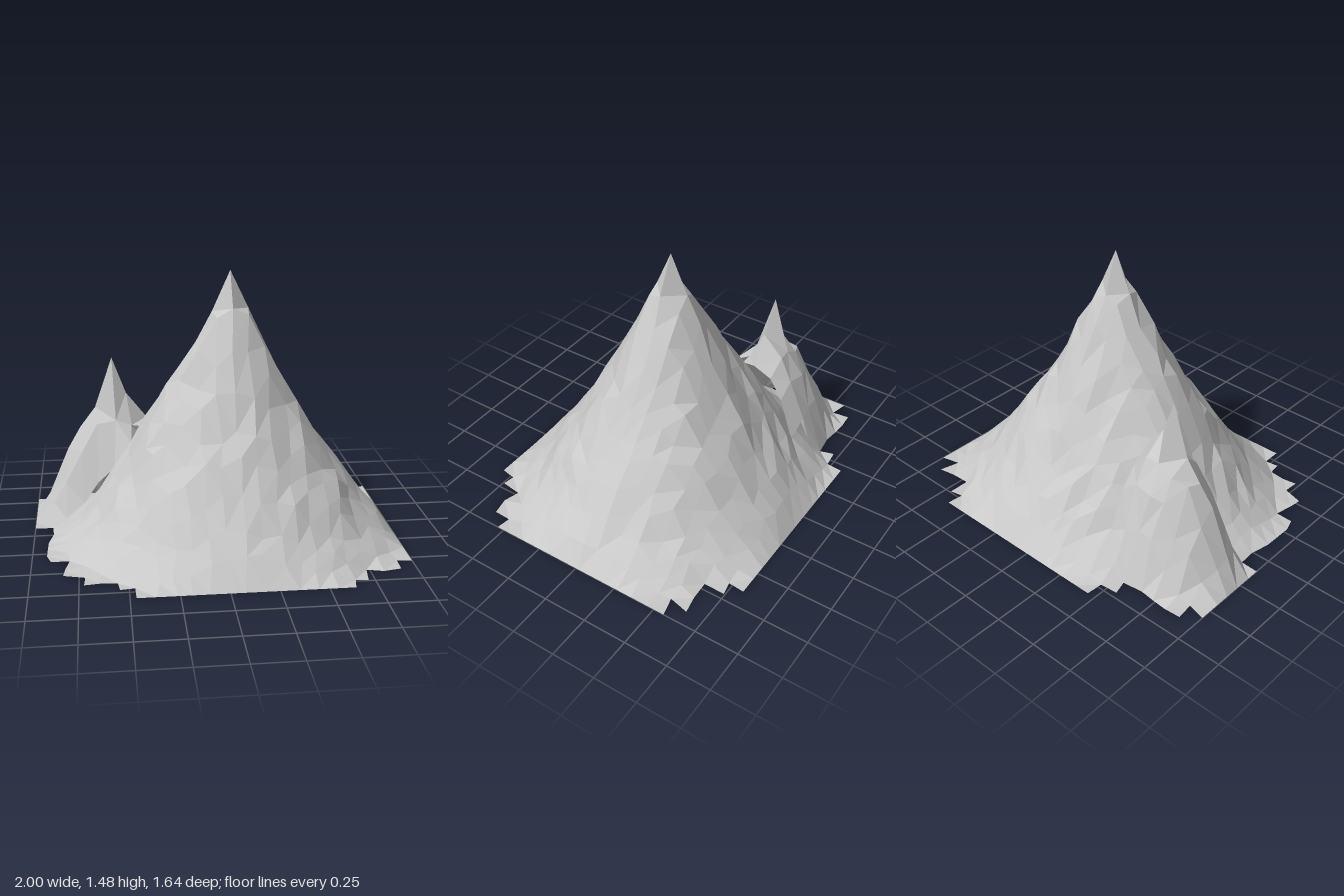
import * as THREE from 'three';

const STEP = 1 / 11, COLS = 22, ROWS = 18;

// First and last column of each row of cells, back to front: the stepped feet
const MAIN_FOOT = {
  firstRow: 0,
  left: [6, 5, 3, 2, 2, 1, 1, 1, 1, 1, 1, 1, 1, 2, 2, 3, 5, 6],
  right: [18, 19, 21, 22, 22, 22, 22, 22, 22, 22, 22, 22, 22, 22, 22, 21, 19, 18],
};
const SIDE_FOOT = { firstRow: 2, left: [1, 0, 0, 0, 0, 0], right: [6, 7, 7, 7, 7, 6] };

// Slope profiles: height at equal steps from peak to foot
const MAIN = [1.475, 1.28, 1.08, 0.88, 0.715, 0.57, 0.43, 0.29, 0.165, 0.075, 0];
const SIDE = [0.945, 0.8, 0.69, 0.62, 0.56, 0.48, 0.38, 0.27, 0.16, 0.07, 0];

function sample(profile, t) {
  if (t >= 1) return 0;
  const i = Math.floor(t * 10);
  return THREE.MathUtils.lerp(profile[i], profile[i + 1], t * 10 - i);
}

// Repeatable value from -1 to 1
function noise(i, j, k) {
  const s = Math.sin(i * 127.1 + j * 311.7 + k * 74.7) * 43758.5453;
  return (s - Math.floor(s)) * 2 - 1;
}

// Nearly round main cone with a shoulder on one side
function mainHeight(x, z) {
  const shoulder = 0.07 * Math.exp(-(((x + 0.31) / 0.15) ** 2) - (z / 0.2) ** 2);
  return sample(MAIN, Math.hypot((x - STEP) / 0.97, z / 0.87)) + shoulder;
}

// Smaller peak, steep towards the front; its inner edge sinks just under the main slope
function sideHeight(x, z) {
  const dx = x + 6 * STEP, dz = z + 3 * STEP;
  const own = sample(SIDE, Math.hypot(dx / (dx > 0 ? 0.5 : 0.46), dz / (dz > 0 ? 0.26 : 0.39)));
  return Math.max(own, mainHeight(x, z) - 0.015);
}

function vertex(i, j, foot, height, peakI, peakJ) {
  const x = -1 + i * STEP, z = (j - ROWS / 2) * STEP;
  if (i === peakI && j === peakJ) return [x, height(x, z), z];
  // Rough rock: shift each point a little, but keep the outer limits straight
  const px = i > 0 && i < COLS ? x + 0.018 * noise(i, j, 1) : x;
  const pz = j > 0 && j < ROWS ? z + 0.018 * noise(i, j, 3) : z;
  const h = height(px, pz);
  const py = Math.max(0.01, h + 0.028 * Math.min(1, h / 0.3) * noise(i, j, 2));
  // Points on the rim rest on the ground unless they meet the main slope
  const last = foot.left.length - 1, row = j - foot.firstRow;
  const r0 = Math.max(row - 1, 0), r1 = Math.min(row, last);
  const inside = row > 0 && row <= last
    && i > Math.max(foot.left[r0], foot.left[r1]) && i < Math.min(foot.right[r0], foot.right[r1]);
  const grounded = !inside && (foot === MAIN_FOOT || h < 0.05);
  return [px, grounded ? 0 : py, pz];
}

// Open faceted shell over a stepped grid
function makeShell(name, material, foot, height, peakI, peakJ) {
  const points = [];
  foot.left.forEach((start, row) => {
    const j = row + foot.firstRow;
    for (let i = start; i < foot.right[row]; i++) {
      const [a, b, c, d] = [[i, j], [i + 1, j], [i + 1, j + 1], [i, j + 1]]
        .map(([u, v]) => vertex(u, v, foot, height, peakI, peakJ));
      // Split each cell along its flatter diagonal
      const flat = Math.abs(a[1] - c[1]) < Math.abs(b[1] - d[1]);
      const tris = flat ? [a, d, c, a, c, b] : [a, d, b, b, d, c];
      points.push(...tris.flat());
    }
  });
  const geometry = new THREE.BufferGeometry();
  geometry.setAttribute('position', new THREE.Float32BufferAttribute(points, 3));
  geometry.computeVertexNormals();
  const shell = new THREE.Mesh(geometry, material);
  shell.name = name;
  return shell;
}

export function createModel() {
  const group = new THREE.Group();
  group.name = 'mountain';
  const rock = new THREE.MeshStandardMaterial({
    name: 'grey rock', color: 0xc8c8c8, flatShading: true, side: THREE.DoubleSide,
  });
  group.add(
    makeShell('mainPeak', rock, MAIN_FOOT, mainHeight, 12, 9),
    makeShell('sidePeak', rock, SIDE_FOOT, sideHeight, 5, 6),
  );
  return group;
}
